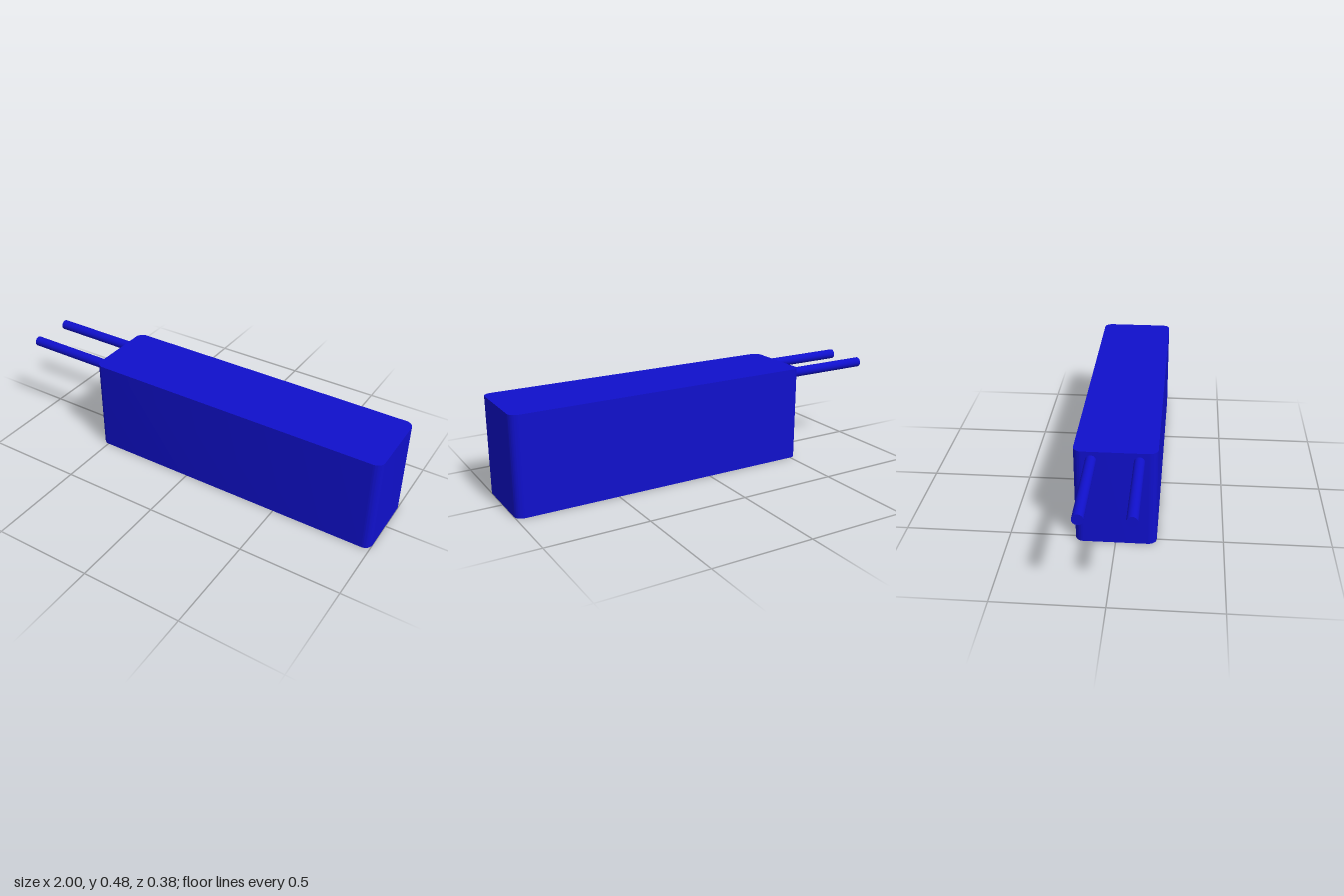
import * as THREE from 'three';
import { toCreasedNormals } from 'three/addons/utils/BufferGeometryUtils.js';

const material = new THREE.MeshStandardMaterial({ color: 0x1010cc });

// Rectangle outline with rounded corners
function roundedRect(x0, x1, halfDepth, r) {
  const s = new THREE.Shape();
  s.absarc(x1 - r, halfDepth - r, r, 0, Math.PI / 2);
  s.absarc(x0 + r, halfDepth - r, r, Math.PI / 2, Math.PI);
  s.absarc(x0 + r, -halfDepth + r, r, Math.PI, Math.PI * 1.5);
  s.absarc(x1 - r, -halfDepth + r, r, Math.PI * 1.5, Math.PI * 2);
  s.closePath();
  return s;
}

export function createModel() {
  const model = new THREE.Group();

  // Block with rounded vertical edges and sharp top and bottom
  const block = new THREE.ExtrudeGeometry(roundedRect(-0.54, 1, 0.19, 0.04), {
    depth: 0.48, bevelEnabled: false, curveSegments: 8,
  });
  block.rotateX(-Math.PI / 2);
  const body = new THREE.Mesh(toCreasedNormals(block, Math.PI / 5), material);
  body.name = 'body';
  model.add(body);

  // Two parallel pins, seated slightly inside the block
  const pinGeometry = new THREE.CylinderGeometry(0.025, 0.025, 0.48, 24);
  pinGeometry.rotateZ(Math.PI / 2);
  for (const [name, z] of [['frontPin', 0.108], ['backPin', -0.108]]) {
    const pin = new THREE.Mesh(pinGeometry, material);
    pin.name = name;
    pin.position.set(-0.76, 0.437, z);
    model.add(pin);
  }

  return model;
}
